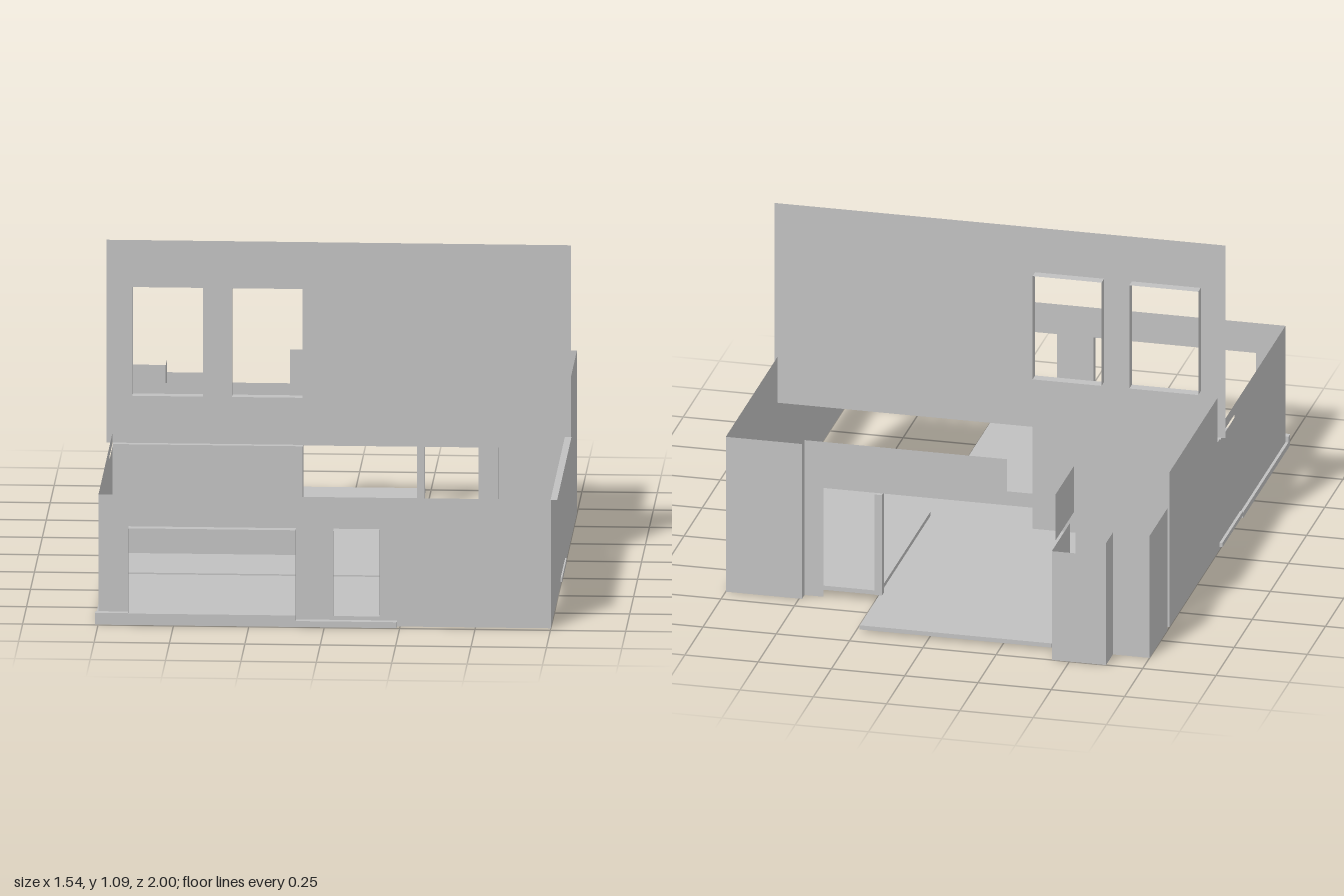
import * as THREE from 'three';

const concrete = new THREE.MeshStandardMaterial({ color: 0xc0c0c0, side: THREE.DoubleSide });
concrete.name = 'plain grey';

export function createModel() {
  const house = new THREE.Group();
  house.name = 'houseShell';

  const add = (name, geometry) => {
    const mesh = new THREE.Mesh(geometry, concrete);
    mesh.name = name;
    house.add(mesh);
    return mesh;
  };
  const toPoints = (pts) => pts.map(([a, b]) => new THREE.Vector2(a, b));
  const outline = (pts, holes = []) => {
    const shape = new THREE.Shape(toPoints(pts));
    for (const h of holes) shape.holes.push(new THREE.Path(toPoints(rect(...h))));
    return new THREE.ShapeGeometry(shape);
  };
  const rect = (a0, a1, b0, b1) => [[a0, b0], [a1, b0], [a1, b1], [a0, b1]];

  // Sheet wall across the house, points are (x, y)
  const crossWall = (name, z, pts, holes) => add(name, outline(pts, holes).translate(0, 0, z));
  // Sheet wall along the house, points are (z, y)
  const sideWall = (name, x, pts, holes) =>
    add(name, outline(pts, holes).rotateY(-Math.PI / 2).translate(x, 0, 0));
  // Slab from a plan outline, points are (x, z)
  const slab = (name, y0, y1, pts) => {
    const geometry = new THREE.ExtrudeGeometry(new THREE.Shape(toPoints(pts)), { depth: y1 - y0, bevelEnabled: false });
    add(name, geometry.rotateX(Math.PI / 2).translate(0, y1, 0));
  };
  // Open reveal lining a rectangular opening between two depths
  const reveal = (name, x0, x1, y0, y1, z0, z1) => {
    const d = z1 - z0, zc = (z0 + z1) / 2;
    for (const x of [x0, x1])
      add(name + 'Jamb', new THREE.PlaneGeometry(d, y1 - y0).rotateY(Math.PI / 2).translate(x, (y0 + y1) / 2, zc));
    for (const y of [y0, y1])
      add(name + 'Rail', new THREE.PlaneGeometry(x1 - x0, d).rotateX(-Math.PI / 2).translate((x0 + x1) / 2, y, zc));
  };

  // Floors
  slab('garageFloor', 0, 0.02, rect(-0.76, 0.24, 0.345, 0.995));
  slab('hallFloor', 0.01, 0.025, [
    [-0.76, 0.345], [0.755, 0.345], [0.755, 0.06], [0.235, 0.06], [0.235, -0.92],
    [-0.42, -0.92], [-0.42, 0.06], [-0.76, 0.06]]);
  slab('sideRoomFloor', 0.02, 0.04, rect(-0.75, -0.42, -0.63, 0.055));
  slab('livingFloor', 0.025, 0.04, [
    [0.235, 0.06], [0.75, 0.06], [0.75, -0.685], [0.49, -0.685], [0.49, -0.65], [0.235, -0.65]]);
  slab('bayFloor', 0.02, 0.04, [
    [-0.75, -0.66], [-0.44, -0.66], [-0.44, -1], [-0.625, -1], [-0.625, -0.905], [-0.75, -0.905]]);

  // Front wall with garage and door openings, reveals standing forward
  const garage = [-0.65, -0.095, 0.04, 0.33], door = [0.03, 0.183, 0.04, 0.33];
  crossWall('frontWall', 0.97, rect(-0.75, 0.75, 0, 0.437), [garage, door]);
  reveal('garageOpening', ...garage, 0.97, 1);
  reveal('doorOpening', ...door, 0.97, 1);
  add('frontSill', new THREE.BoxGeometry(0.665, 0.02, 0.025).translate(-0.4275, 0.03, 0.983));

  // Upper front wall with two windows, reveals set back
  const windows = [[-0.685, -0.45, 0.56, 0.93], [-0.355, -0.12, 0.56, 0.93]];
  crossWall('upperWall', 0.065, [
    [-0.77, 0.4], [0.75, 0.4], [0.75, 0.437], [0.77, 0.437], [0.77, 1.09], [-0.77, 1.09]], windows);
  for (const w of windows) reveal('window', ...w, 0.03, 0.065);
  crossWall('upperWallBacking', 0.03, rect(-0.75, 0.75, 0.39, 0.555));
  add('partitionWall', new THREE.BoxGeometry(0.63, 0.39, 0.035).translate(-0.435, 0.2, 0.0475));

  // Side walls with the long slot under the step
  for (const [x, back] of [[0.75, -0.685], [-0.75, -0.63]]) {
    sideWall('sideWall', x, [
      [back, 0], [0.97, 0], [0.97, 0.437], [0.065, 0.437], [0.065, 0.402], [0.265, 0.402],
      [0.265, 0.39], [0.03, 0.39], [0.03, 0.555], [back, 0.555]]);
  }
  add('sideLedge', new THREE.PlaneGeometry(0.022, 0.905).rotateX(-Math.PI / 2).translate(0.76, 0.437, 0.5175));

  // Back wall: solid corner, return, then a wide opening under a lintel
  crossWall('backCornerWall', -0.685, rect(0.49, 0.75, 0, 0.555));
  sideWall('backCornerReturn', 0.49, rect(-0.685, -0.65, 0, 0.555));
  crossWall('backLintelWall', -0.65, [
    [0.49, 0], [0.49, 0.555], [-0.2, 0.555], [-0.2, 0.44], [-0.43, 0.44], [-0.43, 0.39], [0.425, 0.39], [0.425, 0]]);
  add('backPost', new THREE.BoxGeometry(0.025, 0.36, 0.03).translate(0.235, 0.21, -0.65));
  crossWall('sideRoomBackWall', -0.63, rect(-0.75, -0.43, 0, 0.44));

  // Rear bay
  sideWall('bayLintel', -0.43, rect(-0.905, -0.65, 0.39, 0.555));
  sideWall('bayInnerWall', -0.44, [
    [-1, 0], [-0.905, 0], [-0.905, 0.04], [-0.75, 0.04], [-0.75, 0.39], [-1, 0.39]]);
  crossWall('bayBackWall', -1, rect(-0.625, -0.44, 0, 0.39));
  sideWall('bayStepWall', -0.625, rect(-1, -0.905, 0, 0.437));
  crossWall('bayRearWall', -0.905, rect(-0.75, -0.625, 0, 0.437));
  sideWall('bayOuterWall', -0.75, rect(-0.905, -0.66, 0, 0.437));

  return house;
}
